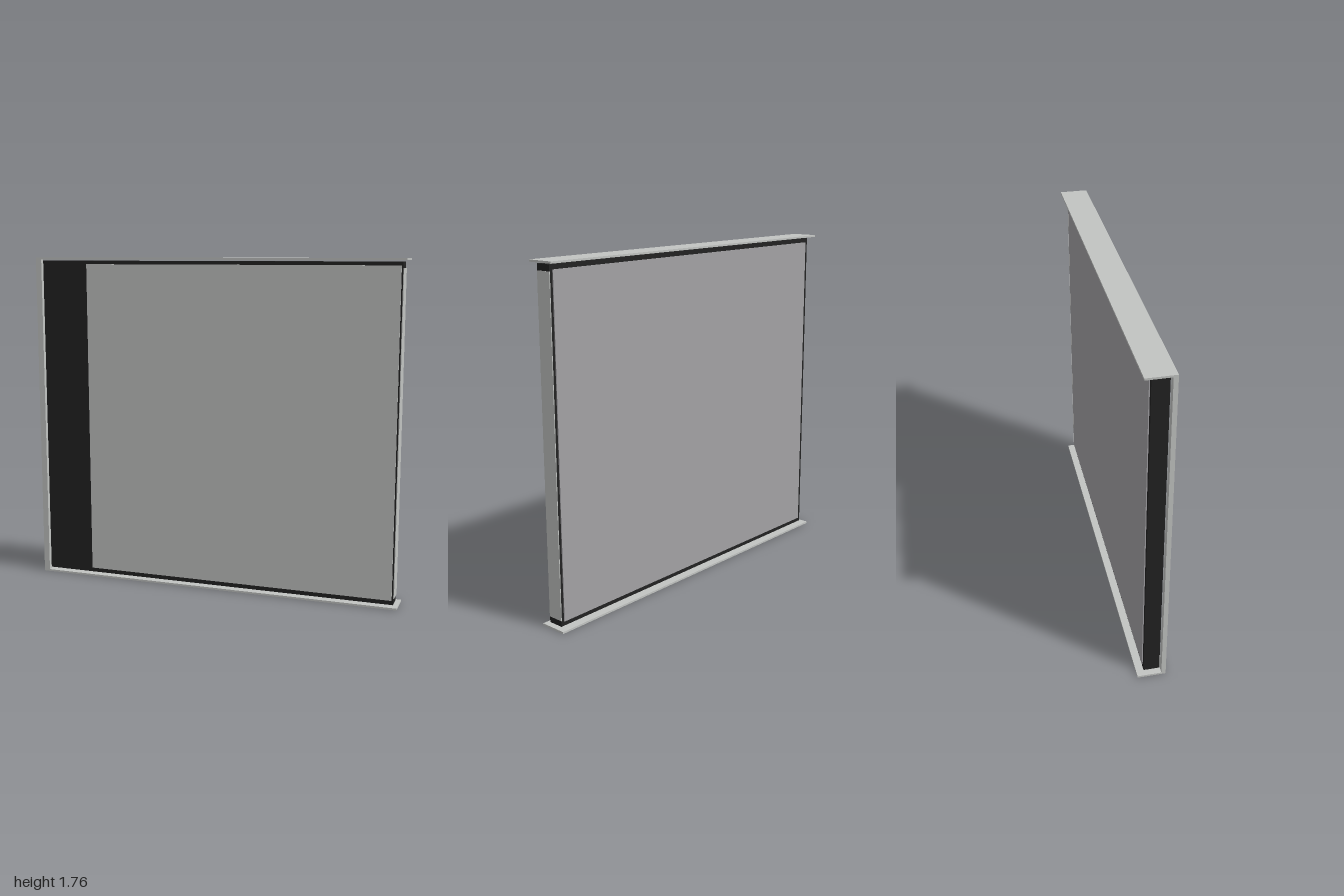
import * as THREE from 'three';

export function createModel() {
  const group = new THREE.Group();
  group.name = 'slidingPanel';

  const mat = (name, color) => {
    const m = new THREE.MeshStandardMaterial({ color });
    m.name = name;
    return m;
  };
  const lightGrey = mat('light grey', 0xc2c4c2);
  const backGrey = mat('back grey', 0xa3a2a5);
  const black = mat('black', 0x222222);

  // Box given by its minimum and maximum along each axis
  const box = (name, material, [x0, x1], [y0, y1], [z0, z1]) => {
    const mesh = new THREE.Mesh(new THREE.BoxGeometry(x1 - x0, y1 - y0, z1 - z0), material);
    mesh.position.set((x0 + x1) / 2, (y0 + y1) / 2, (z0 + z1) / 2);
    mesh.name = name;
    group.add(mesh);
  };

  // Thin plates along the top and bottom, and the upright flange joining them
  box('topPlate', lightGrey, [-1, 1], [1.75, 1.76], [-0.072, 0.072]);
  box('bottomPlate', lightGrey, [-1, 1], [0, 0.01], [-0.072, 0.072]);
  box('sideFlange', lightGrey, [-1, -0.968], [0.01, 1.75], [0.05, 0.072]);

  // Dark core
  box('core', black, [-0.972, 0.977], [0.017, 1.743], [-0.035, 0.046]);

  // Facing sheets
  box('frontSheet', lightGrey, [-0.71, 0.97], [0.04, 1.725], [0.046, 0.05]);
  box('backSheet', backGrey, [-0.952, 0.96], [0.04, 1.72], [-0.04, -0.035]);
  box('endCap', lightGrey, [0.977, 0.981], [0.049, 1.712], [-0.039, 0.043]);

  return group;
}
